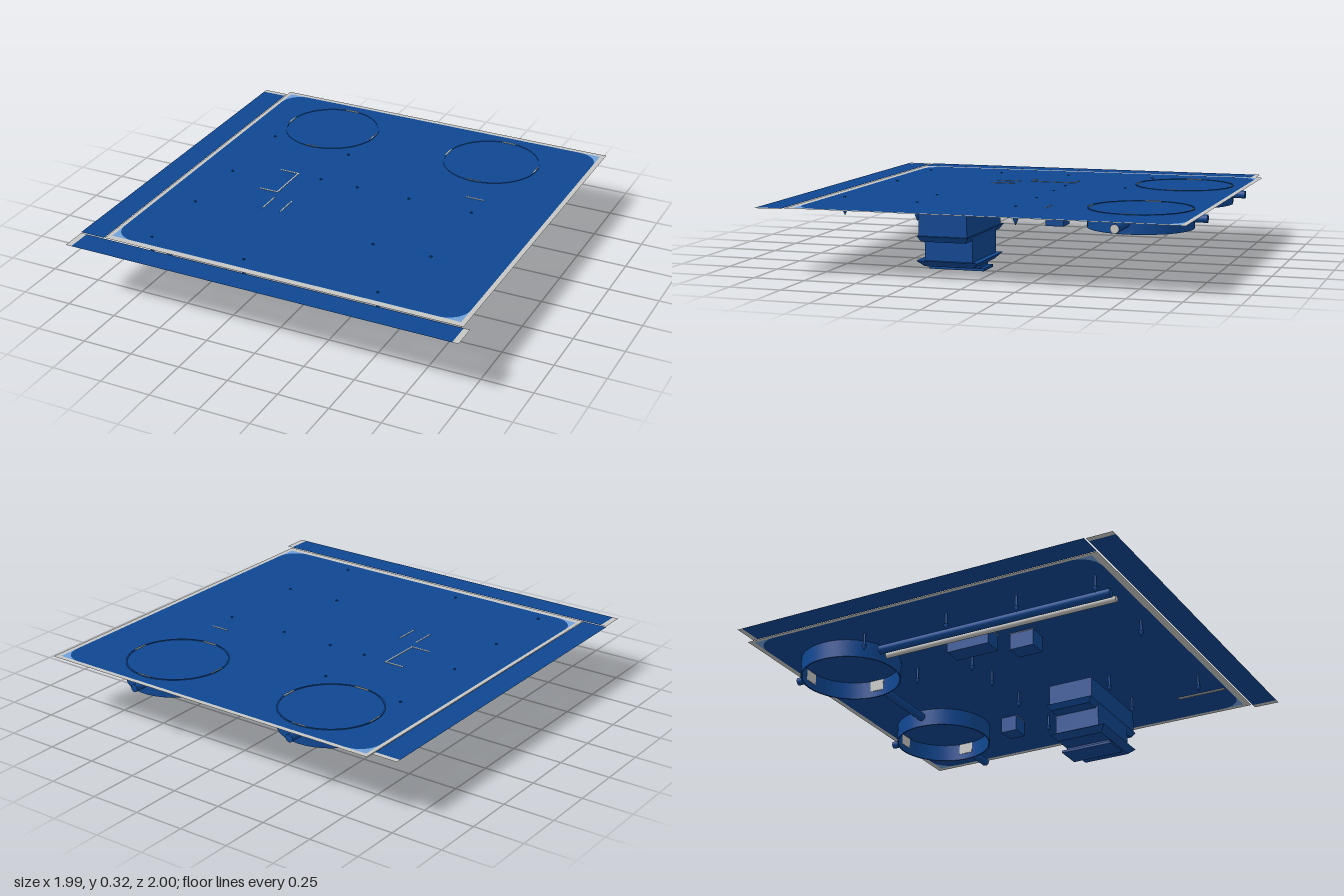
import * as THREE from 'three';

export function createModel() {
  const model = new THREE.Group();
  const mat = (name, color) => {
    const m = new THREE.MeshStandardMaterial({ color, side: THREE.DoubleSide });
    m.name = name;
    return m;
  };
  const blue = mat('deep blue', 0x0f4792);
  const paleBlue = mat('pale blue', 0x6f9fd8);
  const gray = mat('light gray', 0xc6c6c4);
  const SHEET = 0.32;

  const add = (name, geo, material, x = 0, y = 0, z = 0) => {
    const m = new THREE.Mesh(geo, material);
    m.name = name;
    m.position.set(x, y, z);
    model.add(m);
    return m;
  };
  // Box from its limits; the bottom face can be drawn in to form a bevel
  const box = (name, material, x0, x1, y0, y1, z0, z1, inset = 0) => {
    const geo = new THREE.BoxGeometry(x1 - x0, y1 - y0, z1 - z0);
    if (inset) {
      const p = geo.attributes.position;
      for (let i = 0; i < p.count; i++) {
        if (p.getY(i) < 0) {
          p.setX(i, p.getX(i) - Math.sign(p.getX(i)) * inset);
          p.setZ(i, p.getZ(i) - Math.sign(p.getZ(i)) * inset);
        }
      }
      geo.computeVertexNormals();
    }
    return add(name, geo, material, (x0 + x1) / 2, (y0 + y1) / 2, (z0 + z1) / 2);
  };
  // Outline in plan, optionally with rounded corners (shape y becomes -z)
  const outline = (x0, x1, z0, z1, r, S = THREE.Shape) => {
    const s = new S();
    const a = -z1, b = -z0;
    if (!r) {
      s.moveTo(x0, a); s.lineTo(x1, a); s.lineTo(x1, b); s.lineTo(x0, b);
      s.closePath();
      return s;
    }
    s.moveTo(x0 + r, a);
    s.lineTo(x1 - r, a); s.absarc(x1 - r, a + r, r, -Math.PI / 2, 0);
    s.lineTo(x1, b - r); s.absarc(x1 - r, b - r, r, 0, Math.PI / 2);
    s.lineTo(x0 + r, b); s.absarc(x0 + r, b - r, r, Math.PI / 2, Math.PI);
    s.lineTo(x0, a + r); s.absarc(x0 + r, a + r, r, Math.PI, Math.PI * 1.5);
    return s;
  };
  const sheet = (name, material, shape, hole) => {
    if (hole) shape.holes.push(hole);
    const geo = new THREE.ShapeGeometry(shape, 10);
    geo.rotateX(-Math.PI / 2);
    add(name, geo, material, 0, SHEET, 0);
  };

  // Main panel: blue field, pale corners and gray border in one plane
  const field = [-0.845, 0.93, -0.975, 0.83];
  sheet('panelField', blue, outline(...field, 0.11));
  sheet('panelCorners', paleBlue, outline(...field), outline(...field, 0.11, THREE.Path));
  sheet('panelBorder', gray, outline(-0.865, 0.955, -1, 0.865), outline(...field, 0, THREE.Path));

  // Side strip and front strip with gray ends
  sheet('sideStrip', blue, outline(-0.995, -0.868, -0.94, 0.865));
  sheet('sideStripEnd', gray, outline(-0.995, -0.868, -0.965, -0.94));
  sheet('frontStrip', blue, outline(-0.96, 0.96, 0.872, 1));
  for (const s of [-1, 1]) {
    sheet('frontStripEnd', gray, outline(Math.min(s * 0.96, s * 0.99), Math.max(s * 0.96, s * 0.99), 0.872, 1));
  }

  // Two round collars under the panel, with gray plates at the quarter points
  const RZ = -0.68;
  for (const x of [-0.445, 0.455]) {
    const wall = [[0.238, 0.232], [0.245, 0.232], [0.245, 0.323], [0.238, 0.323], [0.238, 0.232]];
    for (let i = 0; i < 4; i++) {
      const pts = [wall[i], wall[i + 1]].map(p => new THREE.Vector2(...p));
      add('collar', new THREE.LatheGeometry(pts, 64), blue, x, 0, RZ);
    }
    for (let i = 0; i < 4; i++) {
      const a = i * Math.PI / 2;
      const plate = add('collarPlate', new THREE.BoxGeometry(0.075, 0.06, 0.006), gray,
        x + Math.sin(a) * 0.237, 0.294, RZ + Math.cos(a) * 0.237);
      plate.rotation.y = a;
    }
  }

  // Horizontal pipes
  const pipe = (name, material, r, axis, from, to, across, y = 0.283) => {
    const geo = new THREE.CylinderGeometry(r, r, to - from, 20);
    const mid = (from + to) / 2;
    if (axis === 'x') geo.rotateZ(Math.PI / 2); else geo.rotateX(Math.PI / 2);
    if (axis === 'x') add(name, geo, material, mid, y, across);
    else add(name, geo, material, across, y, mid);
  };
  pipe('linkPipe', blue, 0.021, 'x', -0.2, 0.21, -0.67);
  pipe('outletPipe', blue, 0.021, 'x', 0.7, 0.89, -0.67);
  pipe('outletCap', gray, 0.02, 'x', 0.889, 0.893, -0.67);
  for (const x of [-0.445, 0.455]) pipe('backPipe', blue, 0.019, 'z', -0.99, -0.92, x);
  pipe('longPipe', blue, 0.022, 'z', -0.44, 0.785, -0.56, 0.28);
  pipe('thinPipe', gray, 0.015, 'z', -0.44, 0.785, -0.5, 0.277);

  // Small housings with thin gray edges showing through the panel
  box('wideHousing', blue, -0.46, -0.36, 0.237, 0.319, -0.128, 0.095);
  box('narrowHousing', blue, -0.345, -0.25, 0.237, 0.319, 0.15, 0.275);
  box('backHousing', blue, 0.49, 0.585, 0.237, 0.319, -0.35, -0.264);
  const edge = (x0, x1, z0, z1) => box('housingEdge', gray, x0, x1, 0.318, 0.322, z0, z1);
  edge(-0.46, -0.36, -0.133, -0.126);
  edge(-0.46, -0.36, 0.091, 0.098);
  edge(-0.364, -0.357, -0.133, 0.098);
  edge(-0.348, -0.342, 0.15, 0.275);
  edge(-0.253, -0.247, 0.15, 0.275);
  edge(0.49, 0.585, -0.268, -0.262);
  box('sideSlot', gray, 0.69, 0.705, 0.313, 0.317, 0.57, 0.82);

  // Stepped drain box hanging below the panel
  box('drainUpper', blue, 0.21, 0.7, 0.18, 0.292, 0.075, 0.31);
  box('drainUpperRim', blue, 0.19, 0.715, 0.155, 0.182, 0.065, 0.315, 0.018);
  box('drainLower', blue, 0.28, 0.62, 0.05, 0.18, 0.075, 0.31);
  box('drainLowerRim', blue, 0.27, 0.64, 0.026, 0.055, 0.045, 0.345, 0.03);
  box('drainNeck', blue, 0.4, 0.51, 0.012, 0.03, 0.075, 0.31);
  box('drainFoot', blue, 0.385, 0.52, 0, 0.012, 0.055, 0.325);

  // Pointed screws through the panel
  const profile = [[0, 0.232], [0.014, 0.262], [0.006, 0.265], [0.006, 0.323], [0, 0.324]]
    .map(p => new THREE.Vector2(...p));
  const screw = new THREE.LatheGeometry(profile, 10);
  const spots = [[-0.67, -0.46], [-0.23, -0.43], [-0.67, -0.01], [-0.67, 0.36], [-0.23, -0.12],
    [-0.03, -0.12], [0.25, -0.12], [0.58, -0.12], [0.29, 0.37], [0.58, 0.36],
    [-0.67, 0.76], [-0.18, 0.76], [0.5, 0.76]];
  for (const [x, z] of spots) add('screw', screw, blue, x, 0, z);

  return model;
}
